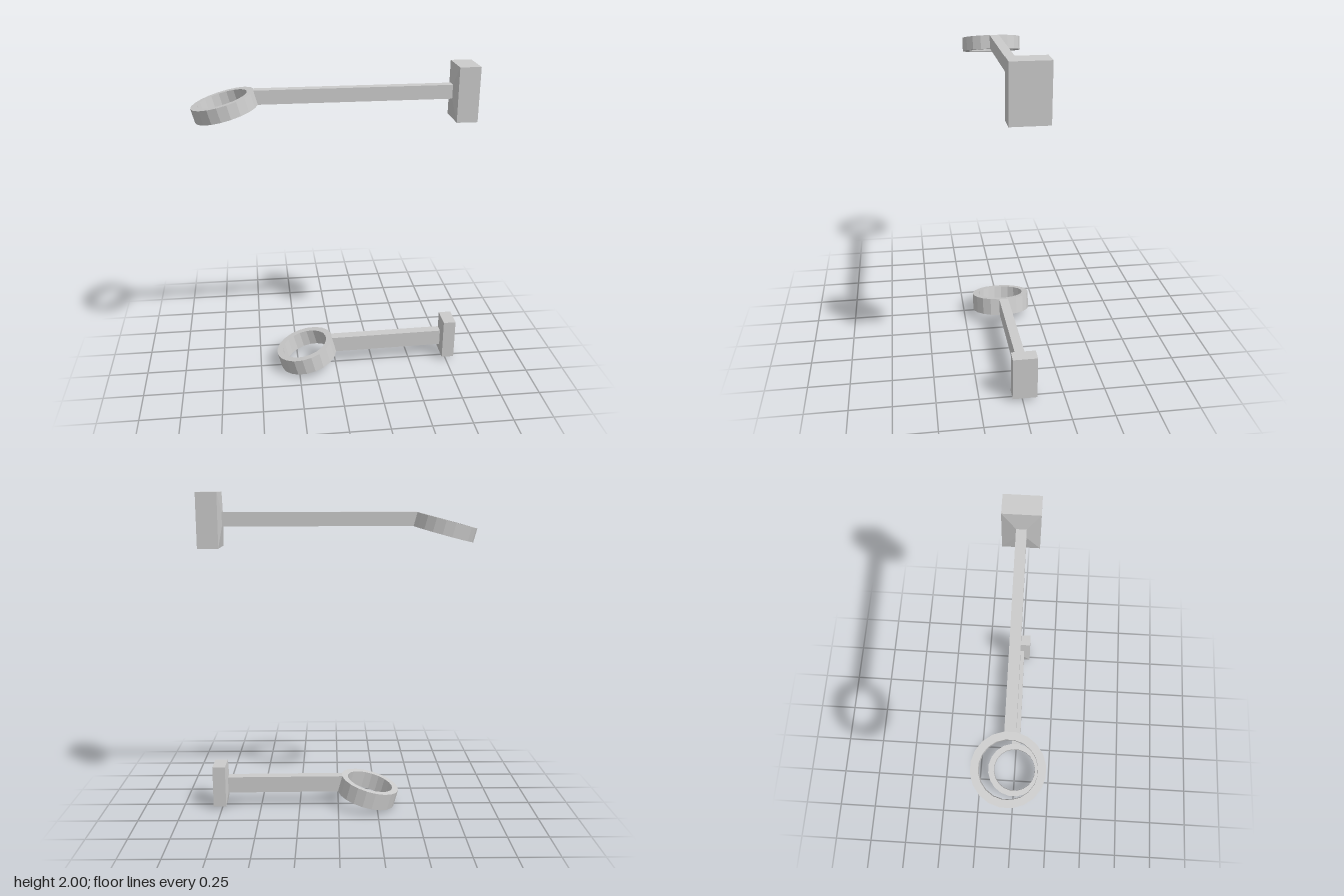
import * as THREE from 'three';

const TILT = Math.PI / 12, SIDES = 20, R_OUT = 0.19, R_IN = 0.15;
const APOTHEM = R_OUT * Math.cos(Math.PI / SIDES);
const HALF_FACET = R_OUT * Math.sin(Math.PI / SIDES);
const material = new THREE.MeshStandardMaterial({ color: 0xcccccc, flatShading: true });

// Regular polygon with a side centred on +x
function polygonPoints(radius) {
  return Array.from({ length: SIDES }, (_, i) => {
    const a = (i + 0.5) * 2 * Math.PI / SIDES;
    return new THREE.Vector2(radius * Math.cos(a), radius * Math.sin(a));
  });
}

// Rectangular cross-section across x; xTop lets the upper edge lean
function section(x, y0, y1, z0, z1, xTop = x) {
  return [[x, y0, z0], [xTop, y1, z0], [xTop, y1, z1], [x, y0, z1]];
}

// Skin a row of four-cornered sections and cap both ends
function loft(sections) {
  const pos = [];
  const quad = (a, b, c, d) => pos.push(...a, ...b, ...c, ...a, ...c, ...d);
  for (let s = 0; s < sections.length - 1; s++) {
    const p = sections[s], q = sections[s + 1];
    for (let i = 0; i < 4; i++) {
      const j = (i + 1) % 4;
      quad(p[i], p[j], q[j], q[i]);
    }
  }
  const [a, b, c, d] = sections[0], e = sections[sections.length - 1];
  quad(d, c, b, a);
  quad(...e);
  const g = new THREE.BufferGeometry();
  g.setAttribute('position', new THREE.Float32BufferAttribute(pos, 3));
  g.computeVertexNormals();
  return g;
}

function bracket(name, { cx, cy, ringH, neckX, plate, midZ }) {
  const group = new THREE.Group();
  group.name = name;

  // Tilted ring
  const shape = new THREE.Shape(polygonPoints(R_OUT));
  shape.holes.push(new THREE.Path(polygonPoints(R_IN)));
  const ringGeo = new THREE.ExtrudeGeometry(shape, { depth: ringH, bevelEnabled: false });
  ringGeo.translate(0, 0, -ringH / 2).rotateX(-Math.PI / 2).rotateZ(TILT).translate(cx, cy, 0);
  const ring = new THREE.Mesh(ringGeo, material);
  ring.name = 'ring';

  // Bar grows out of the ring's end facet
  const ex = cx + APOTHEM * Math.cos(TILT), ey = cy + APOTHEM * Math.sin(TILT);
  const dx = ringH / 2 * Math.sin(TILT), dy = ringH / 2 * Math.cos(TILT);
  const y0 = ey - dy, y1 = ey + dy;
  const neck = section(neckX, y0, y1, midZ - HALF_FACET, midZ + HALF_FACET);
  const bar = new THREE.Mesh(loft([
    section(ex + dx, y0, y1, -HALF_FACET, HALF_FACET, ex - dx), neck,
  ]), material);
  bar.name = 'bar';

  // Mounting plate with a shallow tapered back
  const [px0, px1, py0, py1, pz0, pz1] = plate;
  const plateMesh = new THREE.Mesh(loft([
    neck, section(px0, py0, py1, pz0, pz1), section(px1, py0, py1, pz0, pz1),
  ]), material);
  plateMesh.name = 'mountingPlate';

  group.add(ring, bar, plateMesh);
  return group;
}

export function createModel() {
  const model = new THREE.Group();
  model.name = 'ringBrackets';
  model.add(
    bracket('upperBracket', {
      cx: -0.645, cy: 1.792, ringH: 0.086, neckX: 0.695, midZ: -0.014,
      plate: [0.71, 0.836, 1.673, 2, -0.125, 0.094],
    }),
    bracket('lowerBracket', {
      cx: -0.193, cy: 0.102, ringH: 0.108, neckX: 0.71, midZ: -0.012,
      plate: [0.722, 0.802, 0.021, 0.287, -0.085, 0.06],
    }),
  );
  return model;
}
